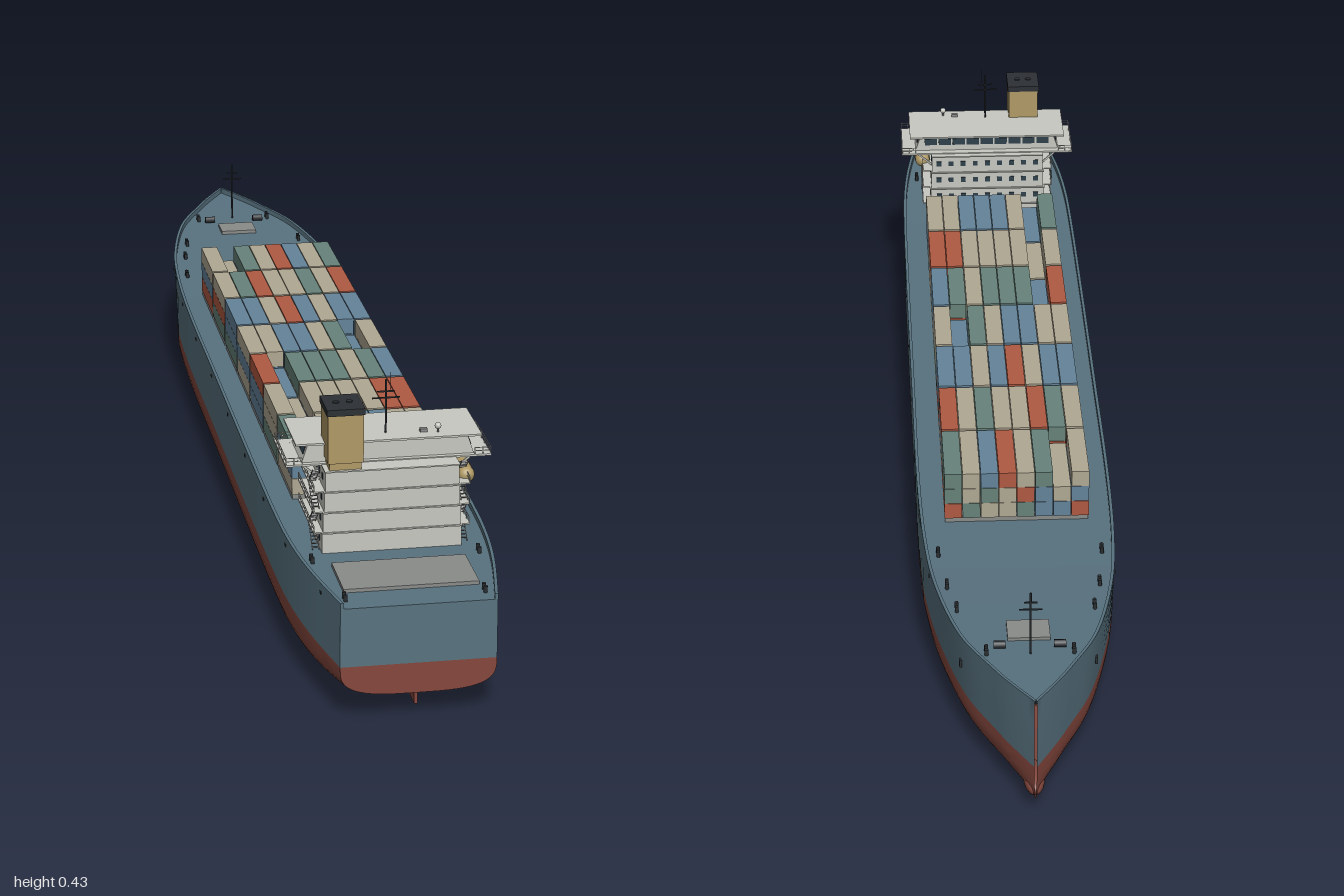
import * as THREE from 'three';
import { toCreasedNormals } from 'three/addons/utils/BufferGeometryUtils.js';

const C = { blue: 0x58727f, red: 0x84473d, white: 0xc8c8c2, dark: 0x2c3034, tan: 0xb09a66, steel: 0x8a8c8a, glass: 0x2d3f4a };
const BOXES = [0xb05a42, 0x67827a, 0xb0a893, 0x64839a, 0x67827a, 0xb0a893, 0x64839a];
const WL = 0.085;
const mats = {};
const mat = (color) => (mats[color] ??= new THREE.MeshStandardMaterial({ color, side: THREE.DoubleSide }));

function add(parent, name, geo, color, x = 0, y = 0, z = 0) {
  const m = new THREE.Mesh(geo, mat(color));
  m.name = name;
  m.position.set(x, y, z);
  parent.add(m);
  return m;
}
const box = (p, name, color, w, h, d, x, y, z) => add(p, name, new THREE.BoxGeometry(w, h, d), color, x, y, z);
const rod = (p, name, color, r, h, x, y, z) => add(p, name, new THREE.CylinderGeometry(r, r, h, 8), color, x, y, z);
function group(parent, name) {
  const g = new THREE.Group();
  g.name = name;
  parent.add(g);
  return g;
}

// Hull lines: deck height, keel height and half breadth along the length
const ramp = (v, a, b) => THREE.MathUtils.clamp((v - a) / (b - a), 0, 1);
const deckY = (z) => 0.172 + 0.004 * ramp(z, 0.6, 1) + 0.019 * ramp(z, -0.4, -1) ** 1.5;
const keelY = (z) => 0.03 * ramp(z, -0.45, -1) ** 3 + 0.038 * ramp(z, 0.5, 1) ** 3;
const plan = new THREE.SplineCurve([
  [-1, 0.002], [-0.95, 0.033], [-0.9, 0.06], [-0.8, 0.105], [-0.65, 0.137], [-0.5, 0.15], [-0.3, 0.155],
  [0, 0.155], [0.3, 0.155], [0.6, 0.154], [0.75, 0.15], [0.87, 0.138], [1, 0.115],
].map(([z, w]) => new THREE.Vector2(z, w)));
const stations = plan.getPoints(72);
const halfWidth = (z) => {
  const i = Math.max(1, stations.findIndex((s) => s.x >= z - 1e-6));
  const a = stations[i - 1], b = stations[i];
  return THREE.MathUtils.lerp(a.y, b.y, ramp(z, a.x, b.x));
};
const waterWidth = (z, w) => w * (1 - 0.15 * ramp(z, -0.5, -1));

// Mirror a half section so that it runs from one side to the other
const mirrored = (half) => [...half, ...half.slice().reverse().map(([x, y]) => [-x, y])];

function upperSection(z, w) {
  const d = deckY(z), top = d + 0.009, ww = waterWidth(z, w), inner = Math.max(w - 0.005, 0.0004);
  const half = [0, 0.33, 0.67, 1].map((t) => [THREE.MathUtils.lerp(ww, w, t), THREE.MathUtils.lerp(WL, top, t)]);
  return mirrored([...half, [inner, top], [inner, d], [0.0002, d]]);
}

function lowerSection(z, w) {
  const k = keelY(z), ww = waterWidth(z, w), n = 3.3 - 1.1 * ramp(z, -0.6, -1);
  const half = [];
  for (let i = 0; i <= 14; i++) {
    const a = (i / 14) * Math.PI / 2;
    half.push([ww * Math.cos(a) ** (2 / n), WL - (WL - k) * Math.sin(a) ** (2 / n)]);
  }
  return mirrored(half);
}

function loft(section) {
  const pos = [], idx = [], rings = stations.map((s) => section(s.x, s.y));
  const n = rings[0].length;
  rings.forEach((ring, r) => {
    ring.forEach(([x, y]) => pos.push(x, y, stations[r].x));
    if (r) for (let i = 0; i < n - 1; i++) {
      const a = (r - 1) * n + i, b = a + n;
      idx.push(a, a + 1, b, a + 1, b + 1, b);
    }
  });
  const g = new THREE.BufferGeometry();
  g.setAttribute('position', new THREE.Float32BufferAttribute(pos, 3));
  g.setIndex(idx);
  return toCreasedNormals(g, 0.6);
}

function buildHull(ship) {
  const hull = group(ship, 'hull');
  [['topsides', upperSection, C.blue], ['underwaterHull', lowerSection, C.red]].forEach(([name, section, color]) => {
    add(hull, name, loft(section), color);
    const end = section(1, stations.at(-1).y).map(([x, y]) => new THREE.Vector2(x, y));
    add(hull, name + 'Transom', new THREE.ShapeGeometry(new THREE.Shape(end)), color, 0, 0, 1);
  });
  add(hull, 'bulbousBow', new THREE.SphereGeometry(1, 20, 14), C.red, 0, 0.037, -0.955).scale.set(0.016, 0.017, 0.04);
  box(hull, 'rudder', C.red, 0.005, 0.026, 0.03, 0, 0.024, 0.965);
  // Propeller
  const prop = group(hull, 'propeller');
  prop.position.set(0, 0.019, 0.942);
  add(prop, 'hub', new THREE.SphereGeometry(0.003, 10, 8), C.tan);
  for (let i = 0; i < 4; i++) {
    const blade = group(prop, 'blade');
    blade.rotation.z = i * Math.PI / 2;
    box(blade, 'bladePlate', C.tan, 0.004, 0.01, 0.001, 0, 0.006, 0).rotation.y = 0.5;
  }
  for (const s of [-1, 1]) {
    box(hull, 'anchor', C.dark, 0.004, 0.012, 0.008, s * (halfWidth(-0.8) - 0.003), 0.14, -0.8);
    // Freeing ports and mooring bollards
    for (let z = -0.6; z <= 0.95; z += 0.19) {
      box(hull, 'freeingPort', C.dark, 0.002, 0.004, 0.007, s * halfWidth(z), deckY(z) - 0.005, z);
    }
    for (const z of [-0.85, -0.72, -0.65, -0.55, 0.81, 0.96]) for (const o of [0, 0.012]) {
      rod(hull, 'bollard', C.dark, 0.003, 0.01, s * (halfWidth(z) - 0.02), deckY(z) + 0.005, z + o);
    }
  }
}

function buildCargo(ship) {
  const cargo = group(ship, 'cargo');
  let seed = 11;
  const rnd = () => (seed = (seed * 16807) % 2147483647) / 2147483647;
  const pitch = 0.1447, w = 0.0286, h = 0.0267;
  for (let bay = 0; bay < 7; bay++) {
    const z = -0.375 + bay * pitch;
    box(cargo, 'hatchCoaming', C.steel, 0.226, 0.01, 0.134, 0, 0.176, z);
    for (let col = 0; col < 8; col++) {
      const tiers = col > 0 && col < 7 && rnd() < 0.12 ? 2 : 3;
      for (let t = 0; t < tiers; t++) {
        const color = BOXES[Math.floor(rnd() * BOXES.length)];
        box(cargo, 'container', color, w - 0.001, h - 0.0006, 0.139, (col - 3.5) * w, 0.18 + (t + 0.5) * h, z);
      }
    }
  }
}

function rail(parent, x1, x2, z1, z2, y) {
  const dx = x2 - x1, dz = z2 - z1, len = Math.hypot(dx, dz), n = Math.max(2, Math.round(len / 0.02));
  for (const h of [0.006, 0.011]) {
    box(parent, 'railBar', C.white, 0.001, 0.001, len, (x1 + x2) / 2, y + h, (z1 + z2) / 2).rotation.y = Math.atan2(dx, dz);
  }
  for (let i = 0; i <= n; i++) box(parent, 'railPost', C.white, 0.001, 0.011, 0.001, x1 + dx * i / n, y + 0.0055, z1 + dz * i / n);
}

function buildHouse(ship) {
  const house = group(ship, 'deckhouse');
  const base = 0.174, top = 0.303, step = (top - base) / 4;
  for (let f = 0; f < 4; f++) {
    const y = base + f * step, half = 0.105 - f * 0.0015;
    box(house, 'accommodationDeck', C.white, half * 2, step, 0.15, 0, y + step / 2, 0.712);
    box(house, 'deckEdge', C.white, half * 2 + 0.002, 0.002, 0.156, 0, y + step, 0.712);
    // Forward windows
    for (let i = 0; i < 9; i++) box(house, 'window', C.glass, 0.009, 0.009, 0.002, (i - 4) * 0.022, y + step * 0.55, 0.637);
    for (const s of [-1, 1]) {
      for (let i = 0; i < 5; i++) box(house, 'sideWindow', C.glass, 0.002, 0.009, 0.009, s * half, y + step * 0.55, 0.66 + i * 0.026);
      // Side galleries with rails and stairs
      if (f > 0) {
        box(house, 'gallery', C.white, 0.018, 0.002, 0.14, s * 0.109, y, 0.715);
        rail(house, s * 0.117, s * 0.117, 0.645, 0.785, y);
      }
      const stair = group(house, 'stair');
      stair.position.set(s * 0.112, y + step / 2, 0.755);
      stair.rotation.x = (f % 2 ? 1 : -1) * 0.85;
      for (const e of [-1, 1]) box(stair, 'stringer', C.steel, 0.001, 0.046, 0.002, e * 0.005, 0, 0);
      for (let i = 0; i < 7; i++) box(stair, 'tread', C.steel, 0.01, 0.001, 0.003, 0, (i - 3) * 0.006, 0);
    }
  }
  // Bridge with open wings
  box(house, 'bridgeDeck', C.white, 0.31, 0.003, 0.112, 0, 0.304, 0.702);
  const cabin = new THREE.Shape([[-0.13, 0], [0.13, 0], [0.12, 0.03], [-0.12, 0.03]].map((p) => new THREE.Vector2(...p)));
  add(house, 'wheelhouse', new THREE.ExtrudeGeometry(cabin, { depth: 0.09, bevelEnabled: false }), C.white, 0, 0.305, 0.66);
  box(house, 'bridgeRoof', C.white, 0.28, 0.003, 0.115, 0, 0.3365, 0.702);
  for (let i = 0; i < 9; i++) box(house, 'bridgeWindow', C.glass, 0.022, 0.012, 0.002, (i - 4) * 0.0255, 0.322, 0.66);
  for (const s of [-1, 1]) {
    for (let i = 0; i < 3; i++) box(house, 'bridgeSideWindow', C.glass, 0.002, 0.012, 0.022, s * 0.1245, 0.322, 0.68 + i * 0.026).rotation.z = s * 0.32;
    rail(house, s * 0.154, s * 0.154, 0.647, 0.757, 0.305);
    for (const z of [0.647, 0.757]) rail(house, s * 0.13, s * 0.154, z, z, 0.305);
    for (const z of [0.665, 0.74]) box(house, 'wingBrace', C.white, 0.003, 0.045, 0.003, s * 0.118, 0.29, z).rotation.z = -s * 0.85;
  }

  // Funnel
  const funnel = group(house, 'funnel');
  box(funnel, 'funnelBase', C.tan, 0.048, 0.012, 0.056, -0.07, 0.309, 0.757);
  box(funnel, 'funnelCasing', C.tan, 0.053, 0.076, 0.062, -0.07, 0.353, 0.757);
  box(funnel, 'funnelCap', C.dark, 0.057, 0.01, 0.066, -0.07, 0.395, 0.757);
  for (const x of [-0.08, -0.06]) rod(funnel, 'exhaustPipe', C.dark, 0.005, 0.004, x, 0.4, 0.757);

  // Main mast and roof instruments
  const mast = group(house, 'mainMast');
  rod(mast, 'mastPole', C.dark, 0.0015, 0.085, 0, 0.379, 0.73);
  box(mast, 'lowerYard', C.dark, 0.042, 0.002, 0.002, 0, 0.393, 0.73);
  box(mast, 'upperYard', C.dark, 0.026, 0.002, 0.002, 0, 0.403, 0.73);
  rod(mast, 'aerial', C.dark, 0.0006, 0.03, 0.007, 0.418, 0.73);
  rod(house, 'domeStand', C.steel, 0.0015, 0.008, 0.077, 0.341, 0.74);
  add(house, 'radarDome', new THREE.SphereGeometry(0.005, 14, 10), C.white, 0.077, 0.348, 0.74);
  box(house, 'roofLocker', C.steel, 0.011, 0.005, 0.008, 0.056, 0.341, 0.735);

  // Lifeboat hanging on davits on one side
  const boat = group(house, 'lifeboat');
  add(boat, 'lifeboatHull', new THREE.CapsuleGeometry(0.013, 0.066, 8, 16), C.tan, 0.117, 0.274, 0.722).rotation.x = Math.PI / 2;
  box(boat, 'rubbingStrake', C.dark, 0.0275, 0.002, 0.066, 0.117, 0.273, 0.722);
  for (const z of [0.695, 0.75]) {
    rod(boat, 'davitPost', C.steel, 0.0015, 0.04, 0.106, 0.272, z);
    box(boat, 'davitArm', C.steel, 0.016, 0.003, 0.003, 0.112, 0.291, z);
  }
}

function buildDeckGear(ship) {
  const gear = group(ship, 'deckGear');
  box(gear, 'aftHatch', C.steel, 0.2, 0.006, 0.102, 0, deckY(0.89) + 0.003, 0.89);
  box(gear, 'foreHatch', C.steel, 0.064, 0.006, 0.05, 0, deckY(-0.785) + 0.003, -0.785);
  // Foremast
  rod(gear, 'foremast', C.dark, 0.0015, 0.105, 0, 0.238, -0.85);
  box(gear, 'foremastYard', C.dark, 0.034, 0.002, 0.002, 0, 0.262, -0.85);
  box(gear, 'foremastUpperYard', C.dark, 0.02, 0.002, 0.002, 0, 0.274, -0.85);
  for (const s of [-1, 1]) {
    const windlass = rod(gear, 'windlass', C.dark, 0.006, 0.018, s * 0.045, deckY(-0.83) + 0.006, -0.83);
    windlass.rotation.z = Math.PI / 2;
  }
}

export function createModel() {
  const ship = new THREE.Group();
  ship.name = 'containerShip';
  buildHull(ship);
  buildCargo(ship);
  buildHouse(ship);
  buildDeckGear(ship);
  return ship;
}
